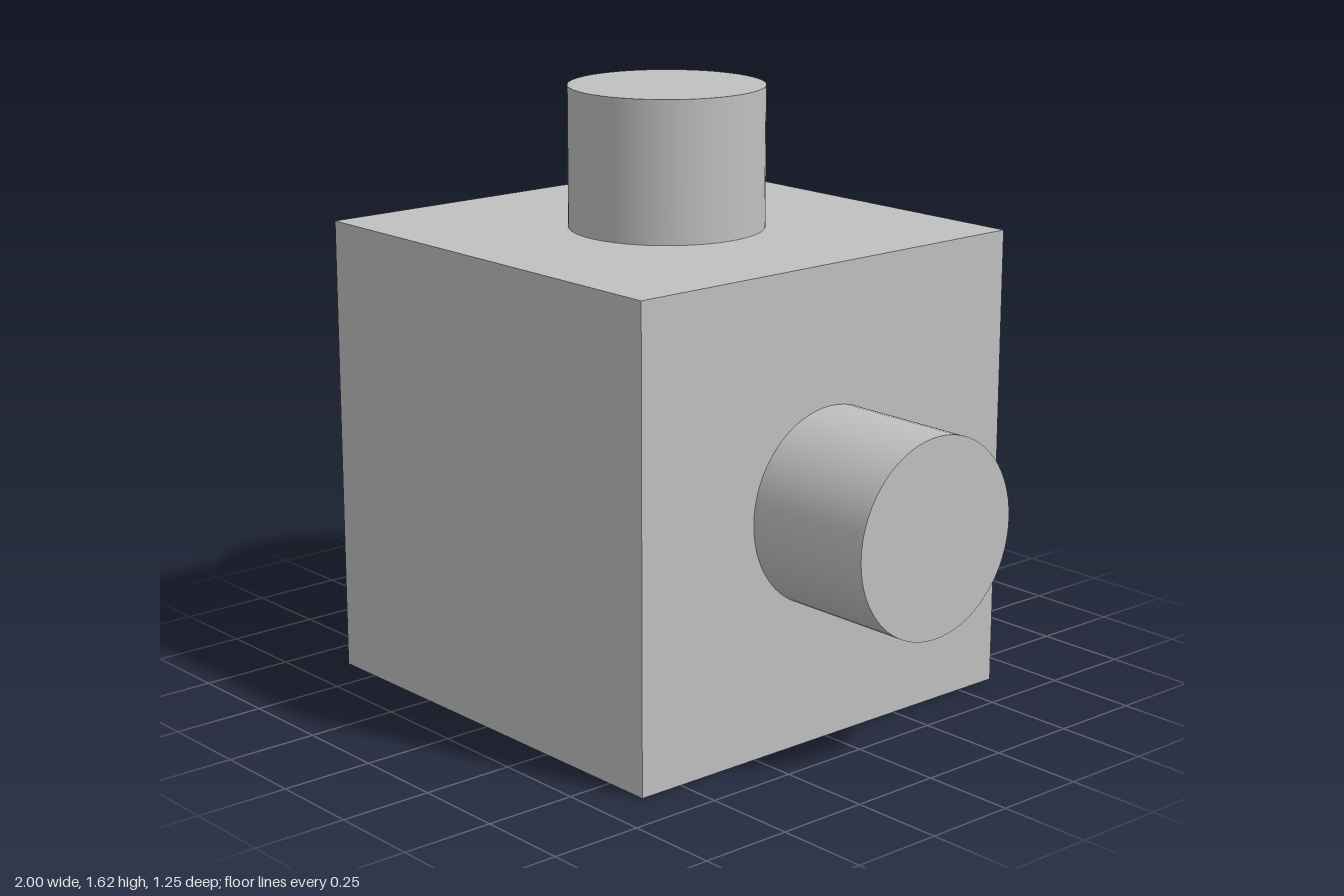
import * as THREE from 'three';

const SIZE = 1.25;    // cube edge
const RADIUS = 0.26;  // stub radius
const LENGTH = 0.375; // stub length beyond the cube

export function createModel() {
  const model = new THREE.Group();
  model.name = 'cubeWithStubs';
  const grey = new THREE.MeshStandardMaterial({ color: 0xc0c0c0 });
  grey.name = 'grey';

  // Cube body standing on the ground
  const body = new THREE.Mesh(new THREE.BoxGeometry(SIZE, SIZE, SIZE), grey);
  body.name = 'body';
  body.position.y = SIZE / 2;
  model.add(body);

  // Round stubs on the top, left and right faces
  const stubGeometry = new THREE.CylinderGeometry(RADIUS, RADIUS, LENGTH, 64);
  const up = new THREE.Vector3(0, 1, 0);
  const stubs = [
    ['topStub', new THREE.Vector3(0, 1, 0)],
    ['leftStub', new THREE.Vector3(1, 0, 0)],
    ['rightStub', new THREE.Vector3(-1, 0, 0)],
  ];
  for (const [name, direction] of stubs) {
    const stub = new THREE.Mesh(stubGeometry, grey);
    stub.name = name;
    stub.quaternion.setFromUnitVectors(up, direction);
    stub.position.copy(body.position).addScaledVector(direction, (SIZE + LENGTH) / 2);
    model.add(stub);
  }
  return model;
}
